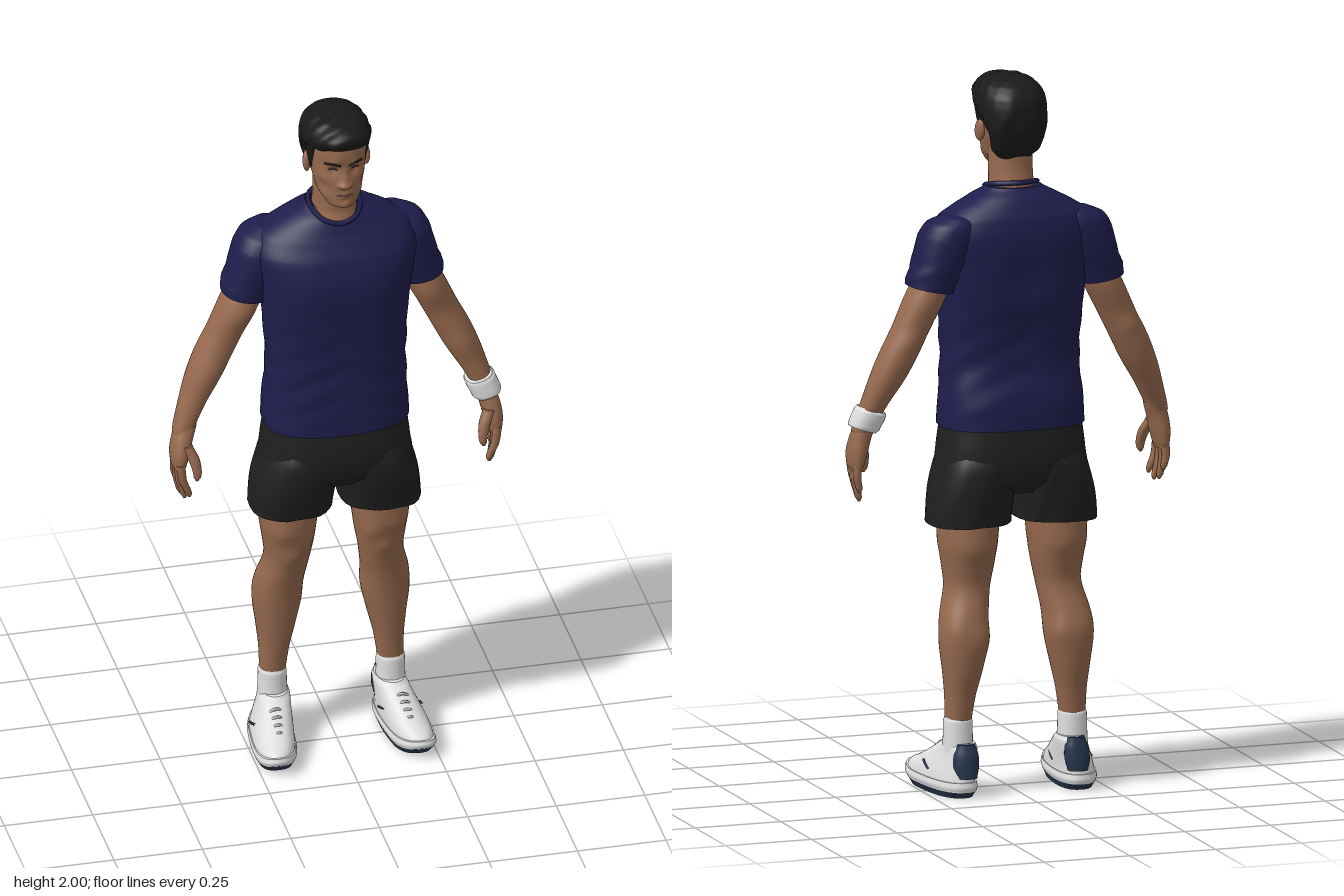
import * as THREE from 'three';

const mat = (name, color, side = THREE.FrontSide) => {
  const m = new THREE.MeshStandardMaterial({ color, side });
  m.name = name;
  return m;
};
const M = {
  skin: mat('skin', 0x96694e), lips: mat('lips', 0x7c5040), hair: mat('hair', 0x1a1a1a),
  shirt: mat('navy shirt', 0x1e1d4c), shorts: mat('black shorts', 0x1f1f1f),
  white: mat('white', 0xdedede), lace: mat('lace grey', 0xb4b6ba), sole: mat('slate sole', 0x26354c),
};

// Loft through level rings [y, centre x, half width, front z, back z, squareness].
// s mirrors the part, bumps are soft pushes [x, y, z, radius, dx, dy, dz], warp moves each point.
function loft(name, material, rows, { s = 1, seg = 28, sub = 5, bumps = [], warp } = {}) {
  const rs = rows.map(r => [...r, r[5] ?? 2.2].slice(0, 6)).sort((p, q) => p[0] - q[0]);
  const at = i => rs[Math.max(0, Math.min(rs.length - 1, i))];
  const pos = [], idx = [], rings = (rs.length - 1) * sub + 1;
  const put = v => {
    const d = new THREE.Vector3();
    for (const [x, y, z, r, dx, dy, dz] of bumps) {
      const w = Math.exp(-((v.x - x * s) ** 2 + (v.y - y) ** 2 + (v.z - z) ** 2) / (r * r));
      d.add(new THREE.Vector3(dx * s, dy, dz).multiplyScalar(w));
    }
    v.add(d);
    if (warp) warp(v, s);
    pos.push(v.x, v.y, v.z);
  };
  const sections = [];
  for (let k = 0; k < rings; k++) {
    const i = Math.min(Math.floor(k / sub), rs.length - 2), t = k / sub - i;
    sections.push(at(i).map((b, c) => {
      const a = at(i - 1)[c], d = at(i + 1)[c], e = at(i + 2)[c];
      if (c === 0) return b + (d - b) * t;
      const m0 = (d - a) / 2, m1 = (e - b) / 2;
      return b + m0 * t + (3 * (d - b) - 2 * m0 - m1) * t * t + (2 * (b - d) + m0 + m1) * t ** 3;
    }));
  }
  const ring = ([y, cx, a, zf, zb, n]) => {
    for (let j = 0; j < seg; j++) {
      const q = j / seg * Math.PI * 2, c = Math.cos(q), w = Math.sin(q);
      put(new THREE.Vector3(cx * s + a * Math.sign(c) * Math.abs(c) ** (2 / n), y,
        (zf + zb) / 2 + (zf - zb) / 2 * Math.sign(w) * Math.abs(w) ** (2 / n)));
    }
  };
  sections.forEach(ring);
  for (let k = 0; k < rings - 1; k++) for (let j = 0; j < seg; j++) {
    const a = k * seg + j, b = k * seg + (j + 1) % seg;
    idx.push(a, a + seg, b, b, a + seg, b + seg);
  }
  // separate end caps keep the hems crisp
  [sections[0], sections[rings - 1]].forEach((sec, top) => {
    const o = pos.length / 3;
    ring(sec);
    put(new THREE.Vector3(sec[1] * s, sec[0], (sec[3] + sec[4]) / 2));
    for (let j = 0; j < seg; j++) {
      const a = o + j, b = o + (j + 1) % seg;
      idx.push(o + seg, top ? b : a, top ? a : b);
    }
  });
  const g = new THREE.BufferGeometry();
  g.setAttribute('position', new THREE.Float32BufferAttribute(pos, 3));
  g.setIndex(idx);
  g.computeVertexNormals();
  const mesh = new THREE.Mesh(g, material);
  mesh.name = name;
  return mesh;
}

function tube(name, material, pts, r, closed = false) {
  const c = new THREE.CatmullRomCurve3(pts.map(p => new THREE.Vector3(...p)), closed);
  const m = new THREE.Mesh(new THREE.TubeGeometry(c, closed ? 48 : 12, r, 6, closed), material);
  m.name = name;
  return m;
}

function makeHead() {
  const g = new THREE.Group();
  g.name = 'head';
  const both = (x, ...r) => [[x, ...r], [-x, r[0], r[1], r[2], -r[3], r[4], r[5]]];
  const face = loft('face', M.skin, [
    [1.742, 0, .025, .085, .02], [1.75, 0, .042, .096, -.01], [1.775, 0, .059, .098, -.05],
    [1.8, 0, .067, .096, -.07], [1.83, 0, .073, .095, -.09], [1.87, 0, .078, .093, -.11],
    [1.91, 0, .08, .097, -.12], [1.94, 0, .078, .09, -.12], [1.97, 0, .06, .06, -.09],
  ], { seg: 72, sub: 8, bumps: [
    [0, 1.822, .1, .013, 0, -.002, .02], [0, 1.842, .1, .011, 0, 0, .01], [0, 1.86, .1, .011, 0, 0, .006],
    ...both(.013, 1.819, .095, .008, .002, 0, .007), ...both(.03, 1.863, .09, .015, 0, 0, -.008),
    ...both(.03, 1.886, .09, .014, 0, 0, .005), ...both(.05, 1.835, .07, .02, .003, 0, .003),
    ...both(.055, 1.81, .06, .02, -.004, 0, -.003),
    [0, 1.787, .1, .012, 0, 0, .005], [0, 1.772, .1, .008, 0, 0, -.004], [0, 1.757, .1, .014, 0, 0, .005],
  ] });
  g.add(face);
  // finds the face surface so thin details lie on it
  const ray = new THREE.Raycaster();
  const on = ([x, y]) => {
    ray.set(new THREE.Vector3(x, y, 1), new THREE.Vector3(0, 0, -1));
    const hit = ray.intersectObject(face)[0];
    return [x, y, hit ? hit.point.z : .09];
  };
  g.add(tube('mouth', M.lips, [[-.022, 1.785], [-.01, 1.788], [0, 1.787], [.01, 1.788], [.022, 1.785]].map(on), .0028));
  for (const s of [1, -1]) {
    g.add(tube('eyebrow', M.hair, [[s * .012, 1.88], [s * .03, 1.887], [s * .052, 1.883]].map(on), .0035));
    g.add(tube('eyeLine', M.hair, [[s * .02, 1.864], [s * .031, 1.868], [s * .043, 1.864]].map(on), .002));
    const ear = new THREE.Mesh(new THREE.SphereGeometry(1, 16, 12), M.skin);
    ear.name = 'ear';
    ear.scale.set(.011, .031, .018);
    ear.position.set(s * .083, 1.848, -.012);
    ear.rotation.set(-.15, s * .35, 0);
    g.add(ear, loft('sideburn', M.hair, [[1.845, .073, .006, .016, .002], [1.88, .076, .008, .03, -.03],
      [1.93, .076, .012, .05, -.05]], { s, seg: 12 }));
  }
  g.add(loft('hair', M.hair, [
    [1.775, 0, .045, -.04, -.085], [1.8, 0, .067, -.035, -.113], [1.85, 0, .081, -.03, -.134],
    [1.89, 0, .09, .01, -.143], [1.915, 0, .094, .072, -.143, 2.4], [1.935, 0, .094, .101, -.14, 2.4],
    [1.955, 0, .09, .111, -.132, 2.4], [1.978, 0, .076, .1, -.112], [1.992, 0, .054, .076, -.085], [1.999, 0, .022, .035, -.045],
  ], { seg: 72, sub: 6, warp: v => {
    const w = .0022 * Math.sin(v.z * 130 + v.x * 45 + 2 * Math.sin(v.y * 40));
    v.x *= 1 + w * 8;
    v.y += v.y > 1.96 ? w * .5 : 0;
    v.z += w;
  } }));
  g.add(loft('neck', M.skin, [[1.62, 0, .085, .03, -.12], [1.665, 0, .068, .044, -.115], [1.7, 0, .061, .034, -.103],
    [1.75, 0, .06, .036, -.092], [1.81, 0, .06, .04, -.09]], { bumps: [[0, 1.735, .04, .015, 0, 0, .006]] }));
  return g;
}

function makeArm(s) {
  const g = new THREE.Group();
  g.name = s > 0 ? 'leftArm' : 'rightArm';
  const tilt = k => v => { v.y += k * (v.x * s - .25); };
  g.add(loft('sleeve', M.shirt, [
    [1.425, .25, .064, .01, -.137], [1.5, .224, .07, .018, -.147], [1.57, .2, .076, .02, -.152],
    [1.61, .183, .07, .005, -.148], [1.638, .16, .05, -.02, -.135], [1.65, .145, .03, -.04, -.11],
  ], { s, warp: v => {
    tilt(.2)(v);
    v.x += s * .003 * Math.sin(v.y * 110 + v.z * 30) * Math.max(0, 1 - Math.abs(v.y - 1.47) / .06);
  } }));
  g.add(loft('arm', M.skin, [
    [1.48, .232, .05, -.01, -.12], [1.4, .262, .055, .002, -.125], [1.32, .3, .053, -.005, -.115],
    [1.25, .335, .053, -.002, -.115], [1.18, .367, .049, .001, -.104], [1.11, .4, .038, .004, -.082], [1.03, .43, .03, .01, -.055],
  ], { s, bumps: [[.26, 1.37, 0, .04, 0, 0, .007], [.35, 1.2, .0, .04, .003, 0, .006], [.32, 1.29, -.12, .025, 0, 0, -.006]] }));
  if (s > 0) g.add(loft('wristband', M.white, [[1.032, .43, .036, .021, -.066, 2.4], [1.04, .426, .04, .024, -.07, 2.4],
    [1.085, .41, .041, .02, -.078, 2.4], [1.095, .406, .037, .017, -.074, 2.4]], { warp: v => { v.y += .3 * (v.x - .42); } }));
  g.add(loft('palm', M.skin, [[1.05, .422, .03, .008, -.055], [1.01, .434, .029, .022, -.054], [.97, .442, .027, .034, -.056],
    [.935, .446, .02, .034, -.053], [.92, .446, .014, .03, -.048]], { s }));
  // four fingers and a thumb
  [.024, .002, -.019, -.039].forEach((z, i) => {
    const tip = [.842, .827, .832, .86][i], x = [.425, .433, .44, .445][i], r = i === 3 ? .0105 : .012;
    g.add(loft('finger', M.skin, [[.945, .447, .013, z + r, z - r], [(tip + .945) / 2, (x + .457) / 2, .0115, z + r, z - r],
      [tip + .012, x, .0095, z + r * .75, z - r * .8], [tip, x - .002, .004, z + .004, z - .004]], { s, seg: 12, sub: 3 }));
  });
  g.add(loft('thumb', M.skin, [[1.0, .428, .016, .03, -.01], [.965, .412, .016, .043, .008], [.93, .404, .013, .05, .024],
    [.91, .404, .01, .05, .03], [.9, .405, .004, .045, .036]], { s, seg: 14, sub: 3 }));
  return g;
}

function makeLeg(s) {
  const g = new THREE.Group();
  g.name = s > 0 ? 'leftLeg' : 'rightLeg';
  g.add(loft('leg', M.skin, [
    [.85, .125, .09, .07, -.14], [.7, .13, .078, .062, -.147], [.64, .13, .07, .046, -.128], [.58, .133, .062, .03, -.116],
    [.5, .148, .066, .01, -.136], [.43, .153, .067, -.002, -.148], [.35, .157, .054, -.012, -.138],
    [.28, .162, .042, -.021, -.12], [.19, .167, .035, -.03, -.105],
  ], { s, seg: 36, bumps: [[.13, .61, .05, .03, 0, 0, .009], [.085, .67, .04, .03, -.003, 0, .008], [.17, .7, .05, .035, .003, 0, .006],
    [.11, .45, -.14, .04, -.004, 0, -.005], [.19, .47, -.13, .04, .004, 0, -.004]] }));
  g.add(loft('shortsLeg', M.shorts, [[.758, .125, .115, .083, -.15, 2.5], [.85, .116, .113, .104, -.162, 2.5],
    [.93, .103, .105, .108, -.162, 2.4], [1, .09, .09, .08, -.13]], { s, warp: v => {
    v.z += .003 * Math.sin(v.x * 70 + v.y * 25);
    v.y += .08 * (v.x * s - .12) * -.3;
  } }));
  g.add(loft('sock', M.white, [[.1, .168, .042, -.018, -.114], [.16, .167, .04, -.022, -.112], [.208, .167, .039, -.024, -.11],
    [.217, .167, .036, -.028, -.106]], { s }));

  // shoe: toes turn out and the tip of the sole lifts
  const warp = v => {
    v.x += s * .1 * (v.z - .02);
    if (v.z > .08) v.y += 2.2 * (v.z - .08) ** 2 * Math.max(0, 1 - v.y / .16);
  };
  const shoe = new THREE.Group();
  shoe.name = 'shoe';
  shoe.add(loft('outsole', M.sole, [[0, .186, .052, .155, -.132, 2.5], [.02, .187, .06, .177, -.149, 2.5]], { s, seg: 40, warp }));
  shoe.add(loft('midsole', M.white, [[.018, .187, .06, .176, -.149, 2.5], [.03, .187, .064, .18, -.152, 2.5],
    [.045, .187, .061, .176, -.149, 2.5]], { s, seg: 40, warp }));
  shoe.add(loft('upper', M.white, [[.04, .187, .059, .172, -.145, 2.4], [.062, .185, .057, .155, -.143, 2.3],
    [.085, .181, .053, .112, -.141], [.11, .176, .048, .062, -.138], [.135, .172, .044, .015, -.132], [.148, .17, .037, -.008, -.122]], { s, seg: 40, warp }));
  shoe.add(loft('heelTab', M.sole, [[.055, .178, .03, -.1, -.15], [.085, .177, .036, -.09, -.149], [.12, .175, .034, -.09, -.144],
    [.148, .174, .024, -.1, -.135]], { s, seg: 20, warp }));
  for (let i = 0; i < 4; i++) {
    const z = .025 + i * .022, y = .127 - i * .0125, x = .176 + .1 * z;
    shoe.add(tube('lace', M.lace, [[s * (x - .027), y - .014, z - .004], [s * x, y + .004, z + .003], [s * (x + .027), y - .014, z - .004]], .0042));
  }
  for (const k of [-1, 1]) shoe.add(tube('sideStripe', M.sole,
    [[s * (.182 + k * .0575), .066, -.03], [s * (.183 + k * .0565), .075, -.005], [s * (.184 + k * .052), .084, .02]], .0035));
  g.add(shoe);
  return g;
}

export function createModel() {
  const model = new THREE.Group();
  model.name = 'athlete';
  model.add(makeHead());
  // shirt body with chest, shoulder blades and soft folds
  model.add(loft('shirt', M.shirt, [
    [1.028, 0, .204, .113, -.17, 2.6], [1.1, 0, .2, .11, -.168, 2.6], [1.2, 0, .194, .105, -.145, 2.6],
    [1.3, 0, .197, .106, -.152, 2.6], [1.4, 0, .205, .111, -.168, 2.6], [1.5, 0, .22, .11, -.174, 2.5],
    [1.57, 0, .232, .095, -.174, 2.4], [1.62, 0, .21, .066, -.164, 2.3], [1.65, 0, .165, .049, -.15], [1.675, 0, .118, .035, -.135],
    [1.698, 0, .078, .008, -.112],
  ], { seg: 56, bumps: [[.09, 1.48, .1, .07, 0, 0, .008], [-.09, 1.48, .1, .07, 0, 0, .008],
    [0, 1.45, -.17, .06, 0, 0, .012], [0, 1.3, -.15, .06, 0, 0, .008]],
  warp: v => {
    const k = Math.max(0, 1 - Math.abs(v.y - 1.2) / .2);
    v.z += .003 * k * Math.sin(v.y * 75 + Math.abs(v.x) * 35);
    v.x *= 1 + .012 * k * Math.sin(v.y * 60 + v.z * 25);
  } }));
  model.add(tube('collar', M.shirt, [[0, 1.668, .046], [.045, 1.678, .032], [.07, 1.695, -.02], [.06, 1.708, -.075],
    [0, 1.712, -.108], [-.06, 1.708, -.075], [-.07, 1.695, -.02], [-.045, 1.678, .032]], .007, true));
  model.add(loft('shortsTop', M.shorts, [[1.05, 0, .196, .104, -.16, 2.6], [.95, 0, .207, .115, -.17, 2.6],
    [.88, 0, .212, .102, -.16, 2.5], [.845, 0, .16, .07, -.13]], { seg: 48 }));
  for (const s of [1, -1]) model.add(makeArm(s), makeLeg(s));
  return model;
}
